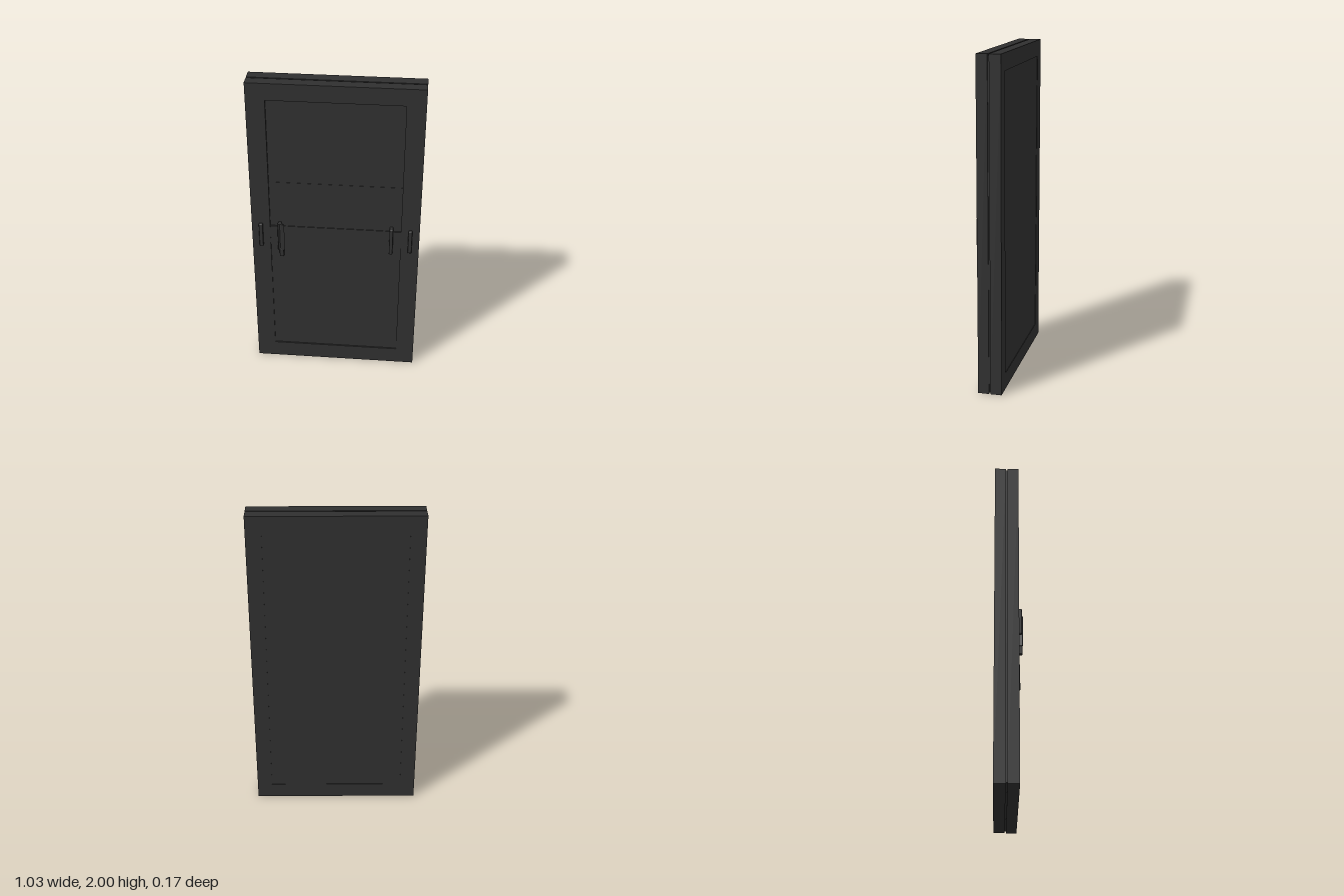
import * as THREE from 'three';
import { RoundedBoxGeometry } from 'three/addons/geometries/RoundedBoxGeometry.js';

const charcoal = new THREE.MeshStandardMaterial({ color: 0x303030 });
charcoal.name = 'charcoal';

const W = 1.026, H = 2;

export function createModel() {
  const model = new THREE.Group();
  model.name = 'door';

  const add = (name, geometry, x = 0, y = 0, z = 0) => {
    const mesh = new THREE.Mesh(geometry, charcoal);
    mesh.name = name;
    mesh.position.set(x, y, z);
    model.add(mesh);
    return mesh;
  };
  // Box given by its limits on each axis
  const box = (name, x0, x1, y0, y1, z0, z1) =>
    add(name, new THREE.BoxGeometry(x1 - x0, y1 - y0, z1 - z0),
      (x0 + x1) / 2, (y0 + y1) / 2, (z0 + z1) / 2);
  const bar = (name, x0, x1, y0, y1, z0, z1) =>
    add(name, new RoundedBoxGeometry(x1 - x0, y1 - y0, z1 - z0, 2, 0.006),
      (x0 + x1) / 2, (y0 + y1) / 2, (z0 + z1) / 2);
  const rect = (Type, x, y0, y1) => new Type([
    new THREE.Vector2(-x, y0), new THREE.Vector2(x, y0),
    new THREE.Vector2(x, y1), new THREE.Vector2(-x, y1)]);
  // Rectangular frame with an opening
  const frame = (name, x, y0, y1, z0, z1) => {
    const shape = rect(THREE.Shape, W / 2, 0, H);
    shape.holes.push(rect(THREE.Path, x, y0, y1));
    add(name, new THREE.ExtrudeGeometry(shape, { depth: z1 - z0, bevelEnabled: false }), 0, 0, z0);
  };

  // Two leaves joined by a slightly inset core, leaving a thin seam
  frame('frontFrame', 0.4, 0.11, 1.895, -0.008, 0.058);
  frame('backFrame', 0.42, 0.1, 1.9, -0.085, -0.017);
  box('seamCore', -W / 2 + 0.008, W / 2 - 0.008, 0.008, H - 0.008, -0.03, 0.005);
  box('backPanel', -0.42, 0.42, 0.1, 1.9, -0.082, -0.02);

  // Recessed front panels, stepping outward towards the bottom
  box('upperPanel', -0.4, 0.4, 1.35, 1.895, 0, 0.044);
  box('middlePanel', -0.4, 0.4, 1.04, 1.35, 0, 0.046);
  box('lowerPanel', -0.4, 0.4, 0.11, 1.04, 0, 0.05);

  for (const side of [-1, 1]) {
    // Latch plates bridging panel and frame, and the outer pulls
    box('latchPlate', Math.min(side * 0.34, side * 0.4), Math.max(side * 0.34, side * 0.4),
      0.92, 1.04, 0.03, 0.056);
    bar('outerPull', side * 0.457 - 0.012, side * 0.457 + 0.012, 0.9, 1.06, 0.045, 0.075);
  }

  // Inner pulls: a plain bar on one side and a flared hook on the other
  bar('innerPull', 0.331, 0.353, 0.89, 1.07, 0.04, 0.083);
  const hook = new THREE.Shape([[-0.346, -0.04], [-0.331, -0.04], [-0.331, -0.064],
    [-0.311, -0.081], [-0.33, -0.081], [-0.339, -0.076], [-0.35, -0.083], [-0.353, -0.076]]
    .map(([x, y]) => new THREE.Vector2(x, y)).reverse());
  const hookGeometry = new THREE.ExtrudeGeometry(hook, { depth: 0.19, bevelEnabled: false });
  hookGeometry.rotateX(-Math.PI / 2);
  add('hookPull', hookGeometry, 0, 0.88, 0);
  bar('hookFoot', -0.345, -0.318, 0.83, 0.89, 0.04, 0.08);

  return model;
}
